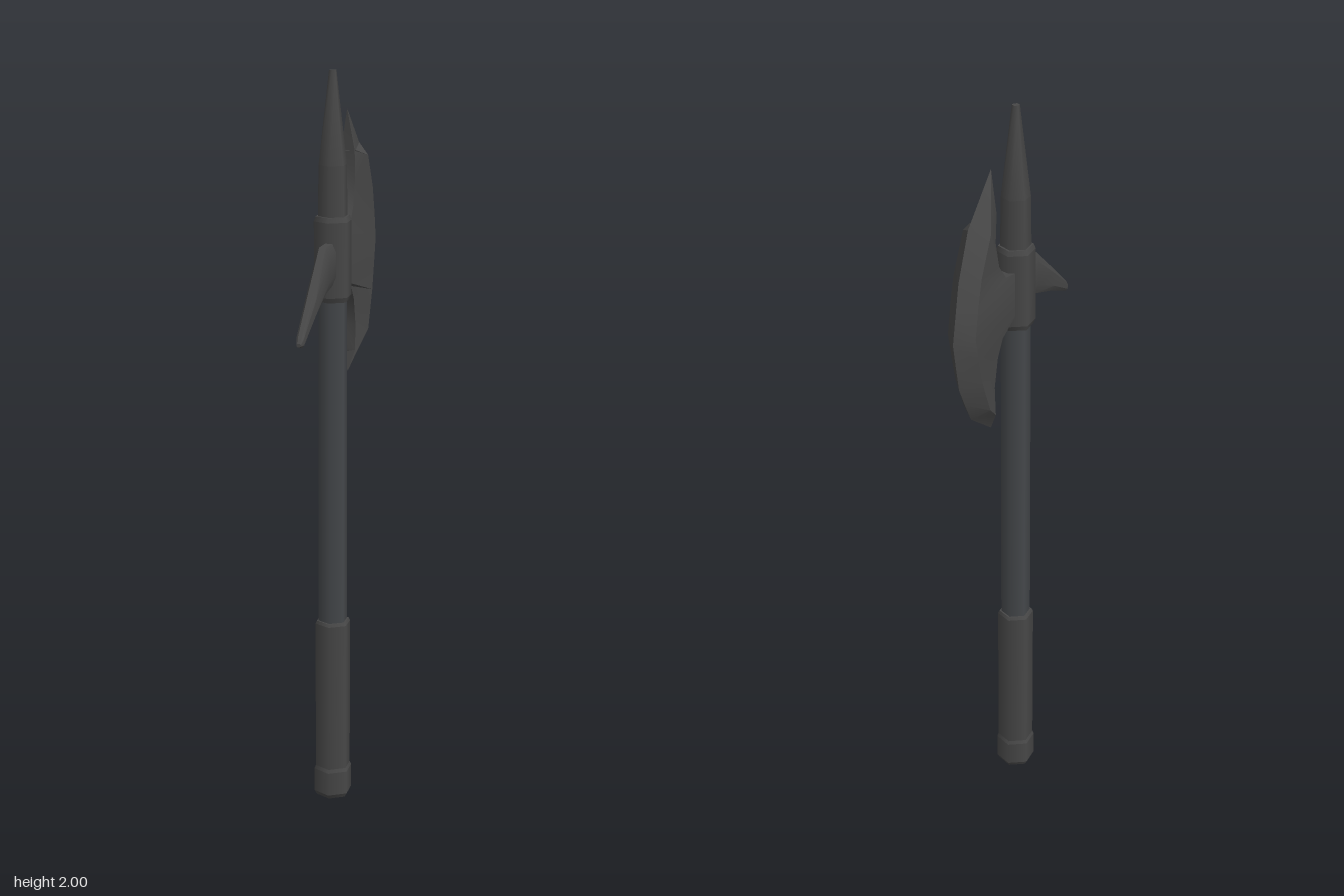
import * as THREE from 'three';
import { toCreasedNormals } from 'three/addons/utils/BufferGeometryUtils.js';

const AXIS_Z = 0.014; // the pole sits slightly forward of centre

// Hexagonal pole piece: stacked rings given as [radius, y], from bottom to top
function hexPart(name, material, rings) {
  const part = new THREE.Group();
  part.name = name;
  for (let i = 0; i < rings.length - 1; i++) {
    const [r0, y0] = rings[i], [r1, y1] = rings[i + 1];
    const mesh = new THREE.Mesh(new THREE.CylinderGeometry(r1, r0, y1 - y0, 6), material);
    mesh.name = name + 'Section';
    mesh.position.set(0, (y0 + y1) / 2, AXIS_Z);
    part.add(mesh);
  }
  return part;
}

// Closed skin over a row of equal-length rings of [x, y, z] points, capped at both ends
function loft(rings) {
  const n = rings[0].length, last = (rings.length - 1) * n, index = [];
  for (let r = 0; r < rings.length - 1; r++) {
    for (let k = 0; k < n; k++) {
      const a = r * n + k, d = r * n + (k + 1) % n;
      index.push(a, a + n, d + n, a, d + n, d);
    }
  }
  for (let k = 1; k < n - 1; k++) {
    index.push(0, k, k + 1, last, last + k + 1, last + k);
  }
  const geo = new THREE.BufferGeometry();
  geo.setAttribute('position', new THREE.Float32BufferAttribute(rings.flat(2), 3));
  geo.setIndex(index);
  return toCreasedNormals(geo, 0.45);
}

export function createModel() {
  const model = new THREE.Group();
  model.name = 'poleAxe';
  const steel = new THREE.MeshStandardMaterial({ color: 0x474747 });
  steel.name = 'dark steel';
  const wood = new THREE.MeshStandardMaterial({ color: 0x44474a });
  wood.name = 'dark shaft';

  // Pole, from the ground up
  model.add(
    hexPart('pommel', steel, [[0.046, 0], [0.053, 0.012], [0.053, 0.078], [0.049, 0.088]]),
    hexPart('grip', steel, [[0.049, 0.088], [0.049, 0.508], [0.045, 0.516]]),
    hexPart('shaft', wood, [[0.04, 0.51], [0.039, 1.42]]),
    hexPart('collar', steel, [[0.046, 1.405], [0.051, 1.418], [0.051, 1.615], [0.046, 1.628]]),
    hexPart('topSpike', steel, [[0.04, 1.62], [0.038, 1.76], [0.01, 2]])
  );

  // Crescent blade, top to bottom: inner rim, bevel line and cutting edge as z, y pairs
  const bladeRows = [
    [-0.14, 1.775, -0.143, 1.776, -0.13, 1.886],
    [-0.145, 1.70, -0.215, 1.754, -0.267, 1.78],
    [-0.124, 1.627, -0.272, 1.66, -0.325, 1.664],
    [-0.082, 1.58, -0.295, 1.585, -0.343, 1.59],
    [-0.01, 1.564, -0.31, 1.516, -0.361, 1.516],
    [-0.01, 1.452, -0.292, 1.447, -0.346, 1.447],
    [-0.103, 1.42, -0.272, 1.378, -0.33, 1.378],
    [-0.135, 1.378, -0.25, 1.33, -0.297, 1.32],
    [-0.155, 1.304, -0.225, 1.278, -0.262, 1.262],
    [-0.15, 1.235, -0.153, 1.225, -0.14, 1.177],
  ];
  const bladeRings = bladeRows.map(([iz, iy, bz, by, ez, ey], r) => {
    const atTip = r === 0 || r === bladeRows.length - 1;
    const rim = 0.018, bevel = atTip ? 0.02 : 0.037, x = 0.003;
    return [[x + rim, iy, iz], [x + bevel, by, bz], [x, ey, ez], [x - bevel, by, bz], [x - rim, iy, iz]];
  });
  const blade = new THREE.Mesh(loft(bladeRings), steel);
  blade.name = 'axeBlade';
  model.add(blade);

  // Drooping front beak: z, top, bottom, half width
  const beakRings = [
    [0.03, 1.562, 1.455, 0.018],
    [0.125, 1.564, 1.445, 0.018],
    [0.246, 1.468, 1.4, 0.014],
    [0.348, 1.385, 1.354, 0.01],
    [0.363, 1.367, 1.359, 0.006],
  ].map(([z, t, b, w]) => {
    const h = (t - b) * 0.22, s = w * 0.5;
    return [[-s, t], [s, t], [w, t - h], [w, b + h], [s, b], [-s, b], [-w, b + h], [-w, t - h]]
      .map(([x, y]) => [x + 0.001, y, z]);
  });
  const beak = new THREE.Mesh(loft(beakRings), steel);
  beak.name = 'frontBeak';
  model.add(beak);

  return model;
}
